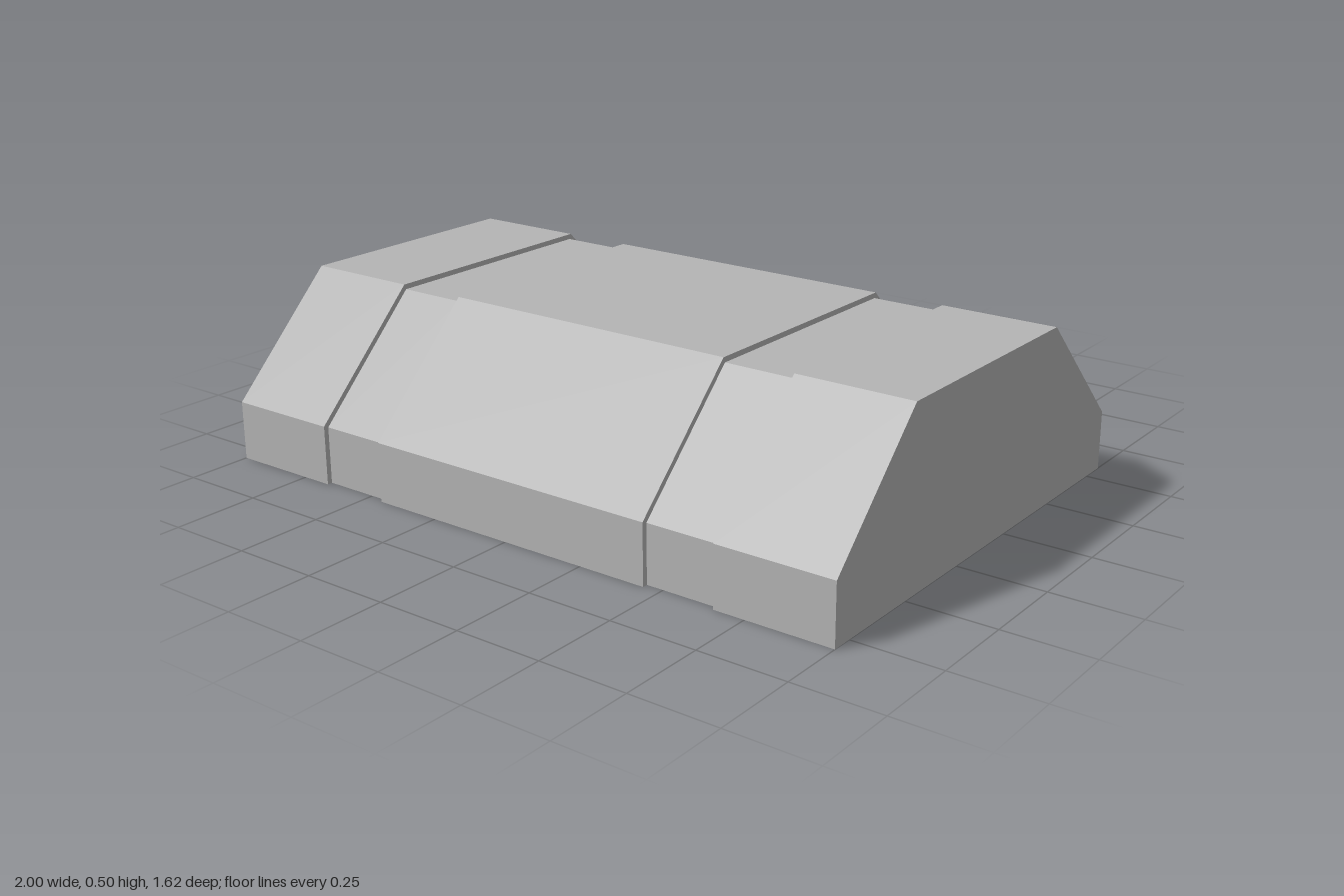
import * as THREE from 'three';

const WALL = 0.06, GROOVE = 0.015;
const grey = new THREE.MeshStandardMaterial({ color: 0xb4b4b4 });
grey.name = 'grey';

// Cross-section [z, y] from front bottom over the top to back bottom, inset by d
function profile(d) {
  const k = d * Math.tan(Math.PI / 8);
  return [
    [0.81 - d, 0], [0.81 - d, 0.17 - k], [0.48 - k, 0.5 - d],
    [-0.245 + k, 0.5 - d], [-0.577 + d, 0.17 - k], [-0.577 + d, 0],
  ];
}

// Flat-faced skin through stations [x, inset]
function skin(stations) {
  const pos = [];
  for (let i = 0; i < stations.length - 1; i++) {
    const [x0, d0] = stations[i], [x1, d1] = stations[i + 1];
    const p = profile(d0), q = profile(d1);
    for (let j = 0; j < p.length - 1; j++) {
      const a = [x0, p[j][1], p[j][0]], b = [x1, q[j][1], q[j][0]];
      const c = [x1, q[j + 1][1], q[j + 1][0]], d = [x0, p[j + 1][1], p[j + 1][0]];
      pos.push(...a, ...b, ...c, ...a, ...c, ...d);
    }
  }
  const g = new THREE.BufferGeometry();
  g.setAttribute('position', new THREE.Float32BufferAttribute(pos, 3));
  g.computeVertexNormals();
  return g;
}

// Flat end at x, facing the sign s
function endFace(d, x, s) {
  const shape = new THREE.Shape(profile(d).map(([z, y]) => new THREE.Vector2(-s * z, y)));
  return new THREE.ShapeGeometry(shape).rotateY(s * Math.PI / 2).translate(x, 0, 0);
}

export function createModel() {
  const model = new THREE.Group();
  model.name = 'hingedCover';
  const add = (name, geometry) => {
    const mesh = new THREE.Mesh(geometry, grey);
    mesh.name = name;
    model.add(mesh);
    return mesh;
  };

  // Outer shell with two shallow bands running over it
  const stations = [
    [-1, 0], [-0.66, 0], [-0.66, GROOVE], [-0.45, GROOVE], [-0.45, 0],
    [0.45, 0], [0.45, GROOVE], [0.66, GROOVE], [0.66, 0], [1, 0],
  ];
  add('outerShell', skin(stations));

  // Hollow inside
  const xi = 1 - WALL;
  add('innerShell', skin([[xi, WALL], [-xi, WALL]]));

  for (const s of [-1, 1]) {
    const side = s > 0 ? 'left' : 'right';
    add(side + 'EndWall', endFace(0, s, s));
    add(side + 'InnerEndWall', endFace(WALL, s * xi, -s));
  }

  // Bottom rim between the shells
  const front = stations.map(([x, d]) => new THREE.Vector2(x, profile(d)[0][0]));
  const back = stations.map(([x, d]) => new THREE.Vector2(x, profile(d)[5][0])).reverse();
  const rim = new THREE.Shape([...front, ...back]);
  const zf = profile(WALL)[0][0], zb = profile(WALL)[5][0];
  rim.holes.push(new THREE.Path([
    new THREE.Vector2(-xi, zf), new THREE.Vector2(-xi, zb),
    new THREE.Vector2(xi, zb), new THREE.Vector2(xi, zf),
  ]));
  add('bottomRim', new THREE.ShapeGeometry(rim).rotateX(Math.PI / 2));

  // Hinge lugs with a pin hole, drawn with z across
  const lug = new THREE.Shape();
  lug.moveTo(-0.562, 0);
  lug.lineTo(-0.562, 0.165);
  lug.lineTo(-0.58, 0.165);
  lug.lineTo(-0.695, 0.137);
  lug.quadraticCurveTo(-0.715, 0.132, -0.73, 0.118);
  lug.lineTo(-0.81, 0.038);
  lug.lineTo(-0.81, 0);
  lug.closePath();
  const hole = new THREE.Path();
  hole.absarc(-0.672, 0.057, 0.033, 0, Math.PI * 2, true);
  lug.holes.push(hole);
  const width = 0.195;
  for (const s of [-1, 1]) {
    const g = new THREE.ExtrudeGeometry(lug, { depth: width, bevelEnabled: false, curveSegments: 10 });
    g.translate(0, 0, -width / 2).rotateY(-Math.PI / 2);
    add(s > 0 ? 'leftHingeLug' : 'rightHingeLug', g).position.x = s * 0.553;
  }
  return model;
}
